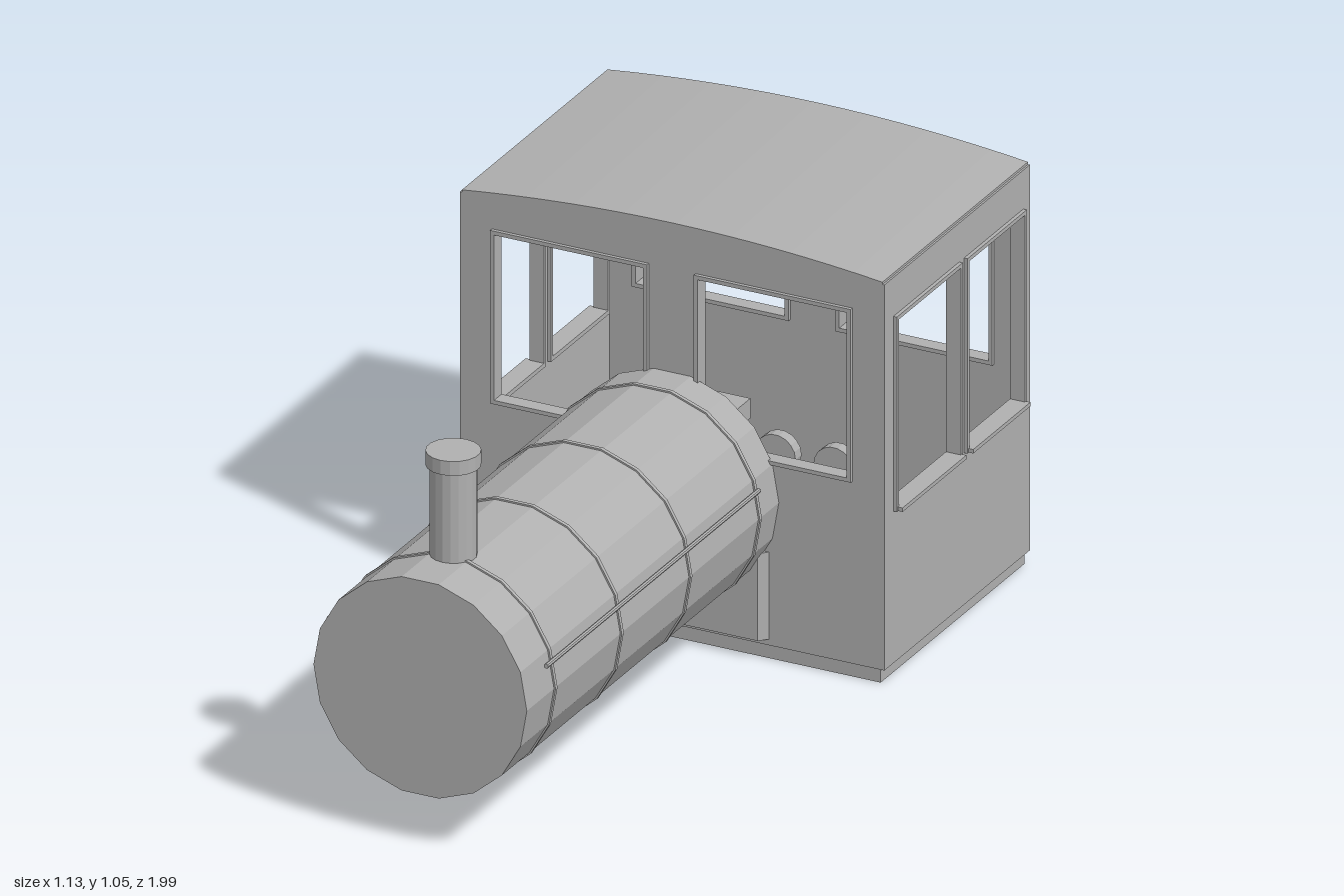
import * as THREE from 'three';
import { toCreasedNormals } from 'three/addons/utils/BufferGeometryUtils.js';

export function createModel() {
  const root = new THREE.Group();
  root.name = 'steamEngine';
  const grey = new THREE.MeshStandardMaterial({ color: 0xb0b0b0, side: THREE.DoubleSide });
  grey.name = 'plainGrey';

  const add = (name, geo, x = 0, y = 0, z = 0, parent = root) => {
    const m = new THREE.Mesh(geo, grey);
    m.name = name;
    m.position.set(x, y, z);
    parent.add(m);
    return m;
  };
  const box = (name, w, h, d, x, y, z, parent) =>
    add(name, new THREE.BoxGeometry(w, h, d), x, y, z, parent);
  // faceted cylinder along an axis
  const cyl = (name, r, len, sides, axis, x, y, z, parent) => {
    const g = toCreasedNormals(new THREE.CylinderGeometry(r, r, len, sides), 0.1);
    if (axis === 'z') g.rotateZ(Math.PI / 2).rotateY(Math.PI / 2);
    if (axis === 'x') g.rotateZ(Math.PI / 2);
    return add(name, g, x, y, z, parent);
  };
  const rect = (C, x0, x1, y0, y1) =>
    new C().moveTo(x0, y0).lineTo(x1, y0).lineTo(x1, y1).lineTo(x0, y1).closePath();
  const panel = (outer, holes, depth) => {
    const s = rect(THREE.Shape, ...outer);
    holes.forEach(h => s.holes.push(rect(THREE.Path, ...h)));
    return new THREE.ExtrudeGeometry(s, { depth, bevelEnabled: false });
  };

  // boiler: flat-sided barrel with a vertex at either side
  const barrel = (name, r, z0, z1) => {
    const s = new THREE.Shape();
    for (let i = 0; i < 18; i++) {
      const a = i * Math.PI / 9;
      s[i ? 'lineTo' : 'moveTo'](r * Math.cos(a), r * Math.sin(a));
    }
    s.closePath();
    add(name, new THREE.ExtrudeGeometry(s, { depth: z1 - z0, bevelEnabled: false }), 0, 0.4, z0);
  };
  barrel('boiler', 0.274, -0.257, 1);
  [0.86, 0.53, 0.188, -0.158].forEach(z => barrel('boilerBand', 0.278, z - 0.005, z + 0.005));
  for (const s of [-1, 1]) cyl('boilerHandrail', 0.006, 1.06, 8, 'z', s * 0.279, 0.478, 0.384);

  // chimney
  cyl('chimney', 0.055, 0.27, 18, 'y', 0, 0.775, 0.835);
  cyl('chimneyCap', 0.064, 0.036, 18, 'y', 0, 0.913, 0.835);

  // cab walls with window openings and raised frames
  const cab = new THREE.Group();
  cab.name = 'cab';
  root.add(cab);
  const T = 0.02, F = 0.01;
  const wall = (name, outer, windows) => {
    const g = new THREE.Group();
    g.name = name;
    cab.add(g);
    add(name + 'Panel', panel(outer, windows, T), 0, 0, 0, g);
    windows.forEach(([a, b, c, d]) =>
      add('windowFrame', panel([a - F, b + F, c - F, d + F], [[a, b, c, d]], T + 0.018), 0, 0, -0.009, g));
    return g;
  };
  const endWindows = [[-0.453, -0.07, 0.505, 0.922], [0.07, 0.453, 0.505, 0.922]];
  const sideWindows = [[-0.937, -0.662, 0.428, 0.9], [-0.618, -0.31, 0.428, 0.9]];
  wall('frontWall', [-0.545, 0.545, 0.035, 1.008], endWindows).position.z = -0.255 - T;
  wall('backWall', [-0.545, 0.545, 0.035, 1.008], endWindows).position.z = -0.98;
  for (const s of [-1, 1]) {
    const w = wall(s > 0 ? 'leftWall' : 'rightWall', [-0.98, -0.255, 0.035, 1.008], sideWindows);
    w.rotation.y = -Math.PI / 2;
    w.position.x = s > 0 ? 0.545 : -0.545 + T;
    sideWindows.forEach(([a, b]) =>
      box('windowSill', 0.05, 0.01, b - a + 0.01, s * 0.541, 0.424, (a + b) / 2, cab));
  }
  box('cabFloor', 1.066, 0.04, 0.715, 0, 0.02, -0.6175, cab);

  // arched roof
  const roof = new THREE.Shape();
  roof.moveTo(-0.54, 1.004);
  roof.lineTo(0.54, 1.004);
  for (let i = 0; i <= 16; i++) {
    const x = 0.54 - i * 0.0675;
    roof.lineTo(x, 1.047 - 0.033 * (x / 0.54) ** 2);
  }
  roof.closePath();
  add('roof', toCreasedNormals(
    new THREE.ExtrudeGeometry(roof, { depth: 0.725, bevelEnabled: false }), 0.3), 0, 0, -0.98, cab);
  box('ceilingLamp', 0.13, 0.025, 0.12, 0.05, 0.965, -0.7, cab);

  // firebox front with bevelled sides
  const fire = new THREE.Shape();
  fire.moveTo(-0.13, 0.26).lineTo(0.253, 0.26).lineTo(0.23, 0.235).lineTo(-0.11, 0.235).closePath();
  const fireGeo = new THREE.ExtrudeGeometry(fire, { depth: 0.22, bevelEnabled: false });
  add('firebox', fireGeo.rotateX(Math.PI / 2), 0, 0.27, -0.49 + 0.02).scale.z = -1;
  root.children[root.children.length - 1].position.z = 0;
  root.children[root.children.length - 1].scale.z = -1;

  // cab fittings
  cyl('fireDoor', 0.08, 0.02, 18, 'z', 0.1, 0.24, -0.285, cab);
  [0.385, 0.235, 0.06].forEach(x => {
    cyl('gauge', 0.052, 0.03, 18, 'z', x, 0.487, -0.328, cab);
    cyl('gaugeStem', 0.015, 0.05, 10, 'z', x, 0.475, -0.29, cab);
  });
  [0.235, 0.06].forEach(x => cyl('gaugePipe', 0.007, 0.32, 8, 'y', x, 0.29, -0.315, cab));
  [0.38, 0.08].forEach(x => cyl('valveKnob', 0.017, 0.03, 10, 'z', x, 0.2, -0.29, cab));
  add('handwheel', new THREE.TorusGeometry(0.06, 0.009, 8, 20), -0.24, 0.3, -0.33, cab);
  for (const a of [0, Math.PI / 2])
    box('wheelSpoke', 0.12, 0.01, 0.01, -0.24, 0.3, -0.33, cab).rotation.z = a;
  cyl('wheelShaft', 0.01, 0.07, 8, 'z', -0.24, 0.3, -0.3, cab);
  cyl('lever', 0.007, 0.4, 8, 'y', -0.1, 0.24, -0.435, cab);
  add('leverKnob', new THREE.SphereGeometry(0.022, 12, 8), -0.1, 0.45, -0.435, cab);
  box('seat', 0.22, 0.05, 0.125, -0.15, 0.375, -0.66, cab);
  box('seatPost', 0.05, 0.32, 0.05, -0.15, 0.195, -0.66, cab);
  for (const s of [-1, 1]) cyl('grabRail', 0.007, 0.35, 8, 'y', s * 0.38, 0.645, -0.952, cab);
  return root;
}
